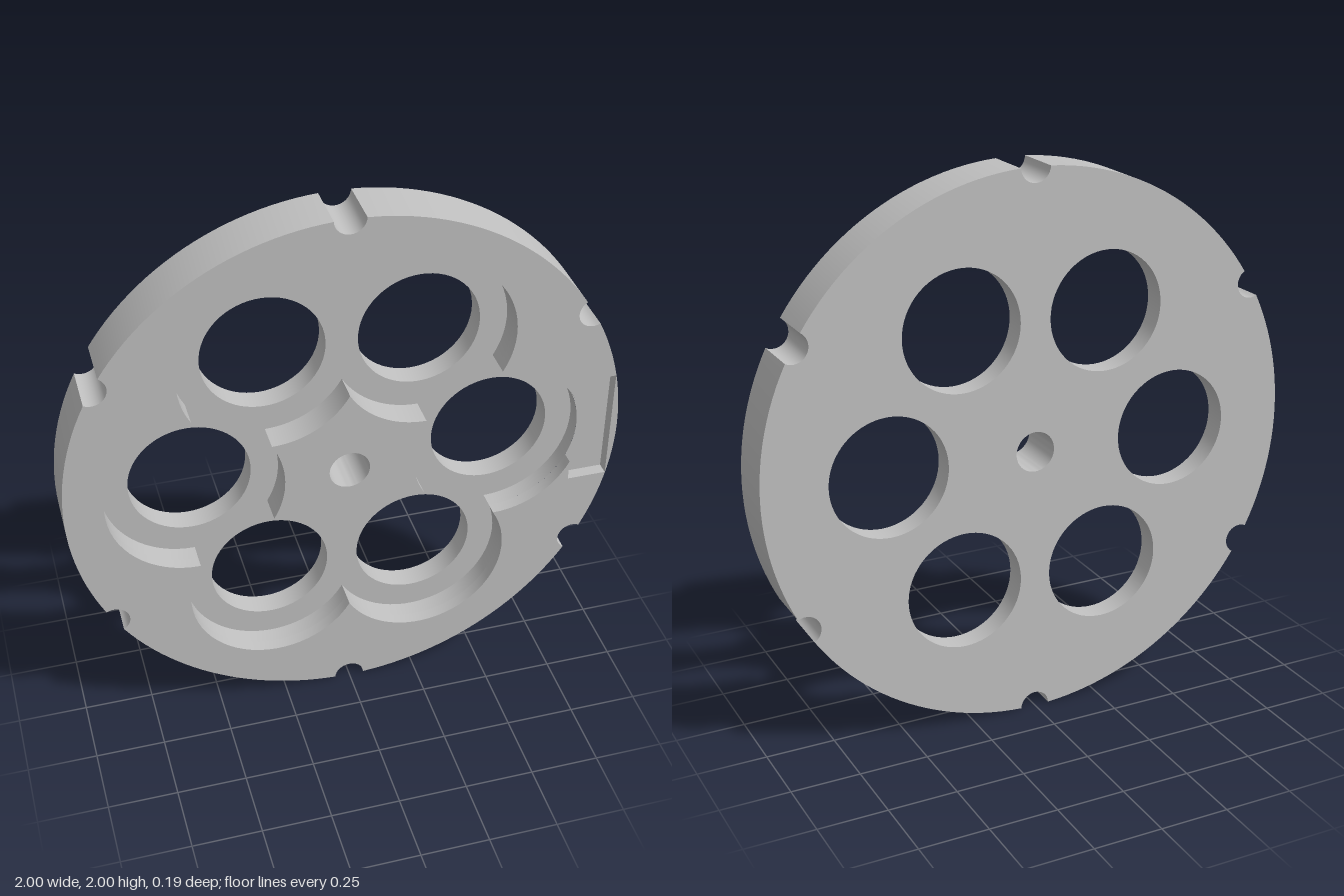
import * as THREE from 'three';
import { toCreasedNormals } from 'three/addons/utils/BufferGeometryUtils.js';

const V = (x, y) => new THREE.Vector2(x, y);
const SIX = [0, 1, 2, 3, 4, 5];
const STEP = Math.PI / 3;

// Sizes
const FRONT = 0.095, BACK = -0.095, FLOOR = -0.01, LEDGE = 0.05;
const RING = 0.547, HOLE = 0.217, POCKET = 0.315, NOTCH = 0.055, BORE = 0.073;
const SLOT = { x0: 0.83, x1: 0.975, h: 0.217 };

// Points along an arc
function arc(cx, cy, r, a0, a1, n) {
  const pts = [];
  for (let i = 0; i <= n; i++) {
    const a = a0 + (a1 - a0) * i / n;
    pts.push(V(cx + r * Math.cos(a), cy + r * Math.sin(a)));
  }
  return pts;
}
const turn = (pts, a) => pts.map(p => p.clone().rotateAround(V(0, 0), a));
// Joins runs of points into one closed contour without doubled points
function loop(...runs) {
  const pts = runs.flat();
  return pts.filter((p, i) => p.distanceTo(pts[(i + 1) % pts.length]) > 1e-5);
}
const circle = (cx, cy, r) => loop(arc(cx, cy, r, 0, Math.PI * 2, 64));

// Flat face at depth z
function face(contour, holes, z) {
  const shape = new THREE.Shape(contour);
  shape.holes = holes.map(h => new THREE.Path(h));
  return new THREE.ShapeGeometry(shape).translate(0, 0, z);
}

// Wall along a contour; it faces right of the direction of travel
function wall(pts, z0, z1, closed = true) {
  const pos = [];
  const count = closed ? pts.length : pts.length - 1;
  for (let i = 0; i < count; i++) {
    const p = pts[i], q = pts[(i + 1) % pts.length];
    pos.push(p.x, p.y, z0, q.x, q.y, z0, q.x, q.y, z1);
    pos.push(p.x, p.y, z0, q.x, q.y, z1, p.x, p.y, z1);
  }
  const g = new THREE.BufferGeometry();
  g.setAttribute('position', new THREE.Float32BufferAttribute(pos, 3));
  return toCreasedNormals(g, 0.5);
}
const reversed = pts => [...pts].reverse();

export function createModel() {
  const group = new THREE.Group();
  const disc = new THREE.Group();
  disc.position.y = 1;
  group.add(disc);
  const grey = new THREE.MeshStandardMaterial({ color: 0xc0c0c0 });
  grey.name = 'grey';
  const add = (name, geometry) => {
    const mesh = new THREE.Mesh(geometry, grey);
    mesh.name = name;
    disc.add(mesh);
    return mesh;
  };

  // Rim outline with six round notches
  const d = 2 * Math.asin(NOTCH / 2);
  const rimPart = [
    ...arc(1, 0, NOTCH, -Math.PI / 2 - d / 2, -Math.PI * 1.5 + d / 2, 16),
    ...arc(0, 0, 1, d, STEP - d, 24),
  ];
  const outline = loop(...SIX.map(k => turn(rimPart, STEP * (k + 0.5))));

  // Six overlapping round pockets: outer flower and inner star hub
  const half = RING / 2;
  const reach = Math.sqrt(POCKET * POCKET - half * half);
  const mid = RING * Math.cos(STEP / 2);
  const cuspAngle = r => Math.atan2(r * Math.sin(STEP / 2), r * Math.cos(STEP / 2) - RING);
  const outer = cuspAngle(mid + reach), inner = cuspAngle(mid - reach);
  const petal = arc(RING, 0, POCKET, -outer, outer, 32);
  const hollow = arc(RING, 0, POCKET, Math.PI * 2 - inner, inner, 16);
  const flower = loop(...SIX.map(k => turn(petal, STEP * k)));
  const star = loop(...SIX.map(k => turn(hollow, STEP * k)));

  // Shallow rectangular slot opening into one pocket
  const g = Math.acos((SLOT.x0 - RING) / POCKET);
  const corners = [
    V(SLOT.x0, -SLOT.h), V(SLOT.x1, -SLOT.h), V(SLOT.x1, SLOT.h), V(SLOT.x0, SLOT.h),
  ];
  const slottedPetal = [
    ...arc(RING, 0, POCKET, -outer, -g, 12), ...corners,
    ...arc(RING, 0, POCKET, g, outer, 12),
  ];
  const slottedFlower = loop(...SIX.map(k => turn(k ? petal : slottedPetal, STEP * k)));
  const ledge = loop(corners, arc(RING, 0, POCKET, g, -g, 16));

  // Through holes
  const bore = circle(0, 0, BORE);
  const holes = SIX.map(k => circle(RING * Math.cos(STEP * k), RING * Math.sin(STEP * k), HOLE));

  // Faces
  add('frontFace', face(outline, [slottedFlower], FRONT));
  add('hubFace', face(star, [bore], FRONT));
  add('pocketFloor', face(flower, [star, ...holes], FLOOR));
  add('slotFloor', face(ledge, [], LEDGE));
  add('backFace', face(outline, [bore, ...holes], FRONT)).rotation.y = Math.PI;

  // Walls
  add('rim', wall(outline, BACK, FRONT));
  add('hubWall', wall(star, FLOOR, FRONT));
  add('pocketWall', wall(reversed(flower), FLOOR, LEDGE));
  add('upperPocketWall', wall(reversed(slottedFlower), LEDGE, FRONT));
  add('centreBore', wall(reversed(bore), BACK, FRONT));
  holes.forEach(h => add('roundHole', wall(reversed(h), BACK, FLOOR)));
  return group;
}
